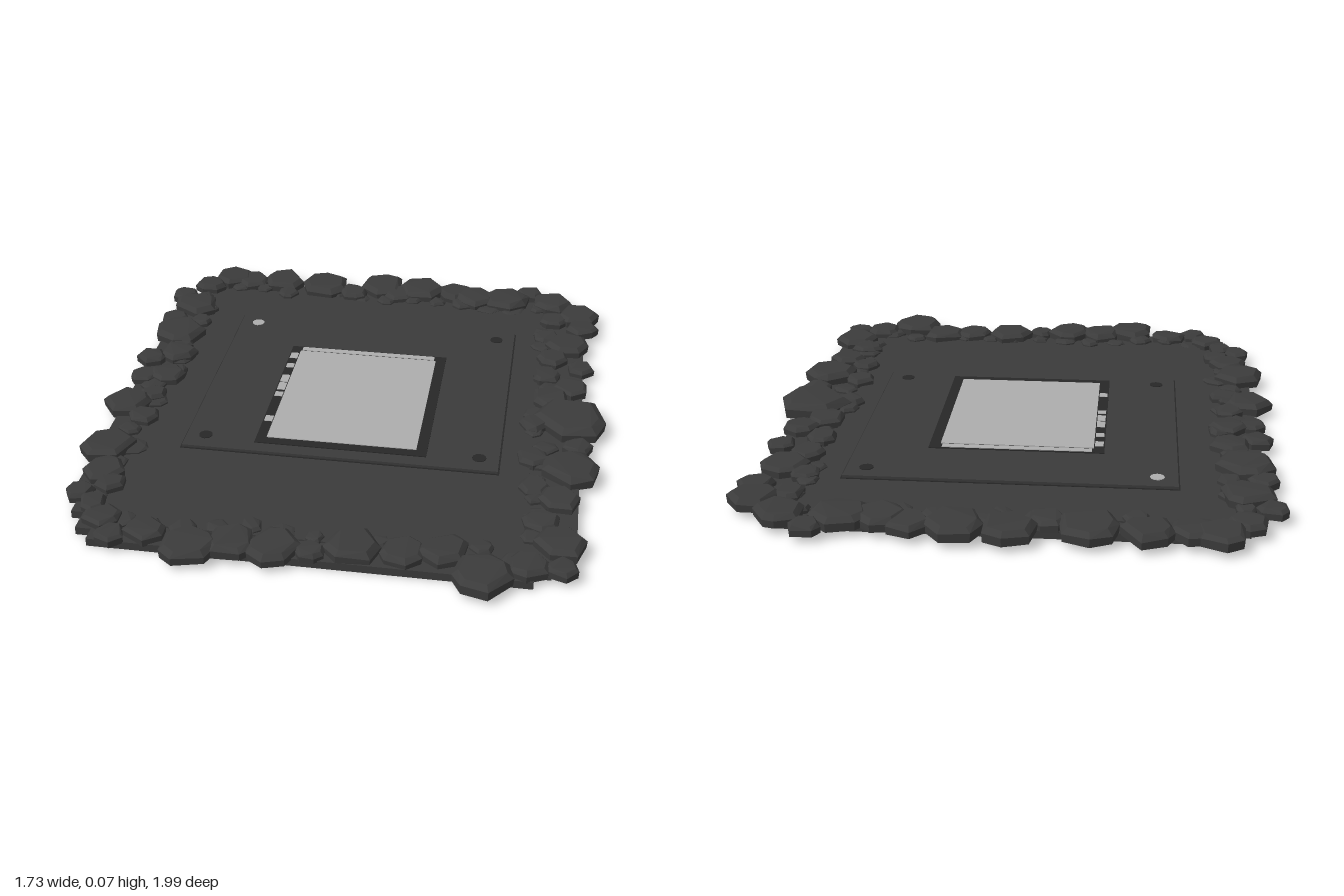
import * as THREE from 'three';
import { ConvexGeometry } from 'three/addons/geometries/ConvexGeometry.js';

const material = (name, color, extra = {}) => {
  const m = new THREE.MeshStandardMaterial({ color, ...extra });
  m.name = name;
  return m;
};

// small seeded generator for the rock shapes
let seed = 7;
const rand = () => (seed = (seed * 16807) % 2147483647) / 2147483647;
const vary = (a, b) => a + (b - a) * rand();

// rocks as x, z, radius in hundredths, one list for each side
const rocks = {
  back: [-64, -90, 8, -72, -82, 6, -56, -88, 7, -43, -90, 8.5, -26, -88, 9.5, -3, -91, 9, 13, -90, 9.5,
    26, -90, 7, 35, -86, 8, 47, -86, 9, 56, -94, 5, 65, -86, 8, 4, -85, 6, -14, -84, 6],
  left: [-80, -72, 5, -73, -63, 9, -79, -52, 5, -74, -41, 9.5, -70, -25, 7, -79, -20, 5.5, -70, -9, 6.5,
    -78, -7, 5, -78, 13, 8.5, -71, 5, 5, -70, 20, 5.5, -76, 40, 9.5, -73, 54, 7, -77, 67, 5, -69, 61, 5, -71, 72, 5],
  front: [-66, 79, 6, -61, 87, 5, -51, 84, 6.5, -36, 89, 9, -24, 85, 8, -11, 86, 8.5, 0, 86, 4.5, 12, 82, 8.5,
    27, 82, 7, 39, 80, 8, 51, 90, 9.5, 64, 83, 6.5, 74, 83, 5],
  right: [73, 71, 8, 67, 61, 6, 72, 48, 7, 64, 42, 5, 75, 31, 9.5, 63, 26, 5.5, 77, 17, 5, 74, 1, 12.5,
    62, 5, 5, 67, -13, 7, 74, -21, 6.5, 65, -29, 5.5, 77, -36, 5, 67, -42, 6, 72, -53, 8, 64, -58, 5,
    77, -67, 6, 75, -77, 8, 66, -72, 5.5],
};

// faceted stone with steep sides, a bevel and a nearly flat top
function rockGeometry(r, bottom, top) {
  const points = [];
  const sides = 6 + Math.floor(rand() * 2);
  const turn = rand() * 6.28;
  for (let i = 0; i < sides; i++) {
    const a = turn + (i + vary(-0.25, 0.25)) / sides * Math.PI * 2;
    const reach = r * vary(0.92, 1.08);
    const shoulder = bottom + (top - bottom) * vary(0.5, 0.68);
    for (const [scale, y] of [[0.97, bottom], [1, shoulder], [0.78, top - vary(0, 0.006)]])
      points.push(new THREE.Vector3(Math.cos(a) * reach * scale, y, Math.sin(a) * reach * scale));
  }
  return new ConvexGeometry(points);
}

export function createModel() {
  const model = new THREE.Group();
  model.name = 'stoneBorderedPlatform';
  const stone = material('dark stone', 0x3b3b3b, { flatShading: true });
  const ground = material('dark ground', 0x3a3a3a);
  const trim = material('black trim', 0x272727);
  const pale = material('pale grey', 0xacacac);

  const add = (name, geometry, mat, x = 0, y = 0, z = 0, parent = model) => {
    const mesh = new THREE.Mesh(geometry, mat);
    mesh.name = name;
    mesh.position.set(x, y, z);
    parent.add(mesh);
    return mesh;
  };
  // box given by its limits
  const slab = (name, mat, x0, x1, y0, y1, z0, z1) =>
    add(name, new THREE.BoxGeometry(x1 - x0, y1 - y0, z1 - z0), mat,
      (x0 + x1) / 2, (y0 + y1) / 2, (z0 + z1) / 2);

  // base plate with stepped corners
  const quarter = [[0.79, 0.68], [0.76, 0.68], [0.76, 0.76], [0.72, 0.76], [0.72, 0.84],
    [0.67, 0.84], [0.67, 0.89], [0.6, 0.89]];
  const back = [...quarter].reverse();
  const outline = [
    ...quarter, ...back.map(([x, z]) => [-x, z]),
    ...quarter.map(([x, z]) => [-x, -z]), ...back.map(([x, z]) => [x, -z]),
  ].map(([x, z]) => new THREE.Vector2(x - 0.01, -z));
  const base = new THREE.ExtrudeGeometry(new THREE.Shape(outline), { depth: 0.026, bevelEnabled: false });
  base.rotateX(-Math.PI / 2);
  add('basePlate', base, ground);

  // inner floor and raised plinth with a dark seam around it
  slab('innerFloor', ground, -0.635, 0.62, 0.02, 0.031, -0.82, 0.8);
  slab('plinthSeam', trim, -0.53, 0.525, 0.02, 0.033, -0.595, 0.365);
  slab('plinth', ground, -0.525, 0.52, 0.02, 0.041, -0.59, 0.36);

  // pale panel and its narrow frame
  slab('panelFrame', trim, -0.29, 0.283, 0.03, 0.044, -0.357, 0.312);
  slab('palePanel', pale, -0.255, 0.247, 0.03, 0.0465, -0.322, 0.278);
  slab('paleBackStrip', pale, -0.25, 0.24, 0.03, 0.046, -0.352, -0.328);
  for (const [z, length] of [[-0.285, 0.04], [-0.21, 0.03], [-0.115, 0.05], [-0.06, 0.05], [-0.005, 0.03], [0.16, 0.035]])
    slab('paleFrameInlay', pale, -0.286, -0.258, 0.04, 0.0455, z - length / 2, z + length / 2);

  // corner studs
  for (const x of [-0.46, 0.455])
    for (const z of [-0.525, 0.29])
      add('cornerStud', new THREE.CylinderGeometry(0.023, 0.023, 0.008, 12),
        x < 0 && z < 0 ? pale : trim, x, 0.039, z);

  // main border rocks
  for (const [side, list] of Object.entries(rocks)) {
    const group = new THREE.Group();
    group.name = side + 'Rocks';
    model.add(group);
    for (let i = 0; i < list.length; i += 3) {
      const r = list[i + 2] / 100;
      add('rock', rockGeometry(r, 0.021, Math.min(0.072, 0.042 + r * 0.27)), stone,
        list[i] / 100, 0, list[i + 1] / 100, group);
    }
  }

  // small stones filling the gaps between them
  const fill = new THREE.Group();
  fill.name = 'smallStones';
  model.add(fill);
  const pebble = (x, z) => {
    const r = vary(0.03, 0.05);
    add('smallStone', rockGeometry(r, 0.02, vary(0.038, 0.05)), stone, x, 0, z, fill);
  };
  for (let t = -0.6; t <= 0.61; t += 0.1) {
    pebble(t, vary(-0.84, -0.8));
    pebble(t, vary(0.75, 0.82));
  }
  for (let t = -0.72; t <= 0.7; t += 0.1) {
    pebble(vary(-0.73, -0.67), t);
    pebble(vary(0.62, 0.68), t);
  }
  return model;
}
